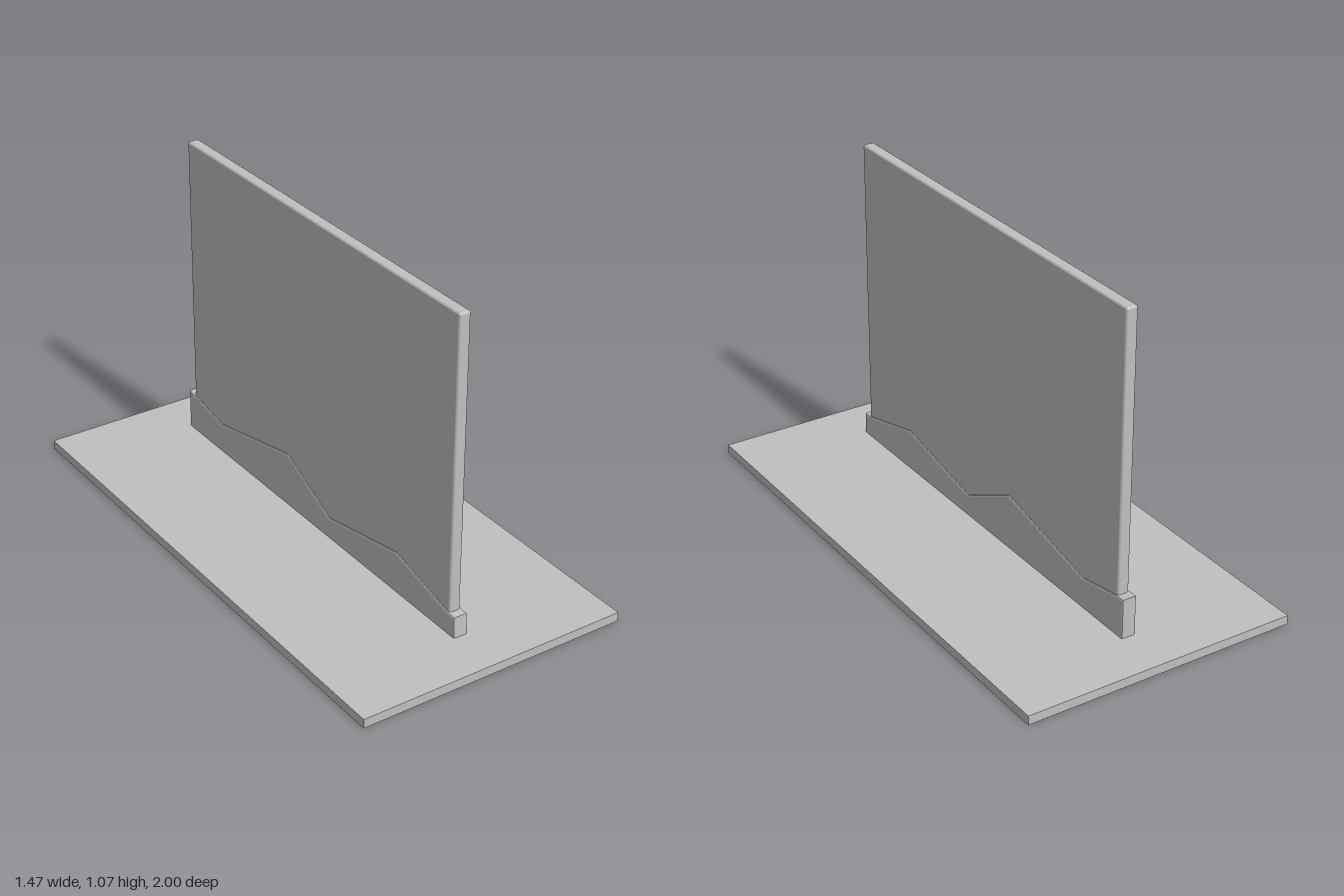
import * as THREE from 'three';
import { RoundedBoxGeometry } from 'three/addons/geometries/RoundedBoxGeometry.js';

const BASE_H = 0.03;

export function createModel() {
  const grey = new THREE.MeshStandardMaterial({ color: 0xc0c0c0 });
  grey.name = 'light grey';

  const model = new THREE.Group();
  model.name = 'standingPanel';

  const add = (name, geometry, y = 0) => {
    const mesh = new THREE.Mesh(geometry, grey);
    mesh.name = name;
    mesh.position.y = y;
    model.add(mesh);
  };

  // Flat rectangular base plate
  add('basePlate', new THREE.BoxGeometry(0.91, BASE_H, 1.8), BASE_H / 2);

  // Thin upright panel with softened edges, set slightly into the base
  const top = 1.07, bottom = 0.015;
  add('panel', new RoundedBoxGeometry(0.039, top - bottom, 1.412, 3, 0.008), (top + bottom) / 2);

  // Jagged sleeve around the foot of the panel: outline runs along its length
  const outline = [
    [-0.737, 0.015], [0.737, 0.015], [0.733, 0.1], [0.7, 0.102], [0.444, 0.167],
    [0.092, 0.1], [-0.14, 0.213], [-0.535, 0.13], [-0.7, 0.16], [-0.737, 0.162],
  ];
  const shape = new THREE.Shape(outline.map(([s, y]) => new THREE.Vector2(s, y)));
  const width = 0.048, bevel = 0.006;
  const sleeve = new THREE.ExtrudeGeometry(shape, {
    depth: width - 2 * bevel,
    bevelEnabled: true,
    bevelThickness: bevel,
    bevelSize: bevel,
    bevelOffset: -bevel,
    bevelSegments: 2,
  });
  sleeve.translate(0, 0, bevel - width / 2);
  sleeve.rotateY(-Math.PI / 2);
  add('jaggedFoot', sleeve);

  // The whole stand is turned about the vertical
  model.rotation.y = THREE.MathUtils.degToRad(20);

  const root = new THREE.Group();
  root.name = 'model';
  root.add(model);
  return root;
}
